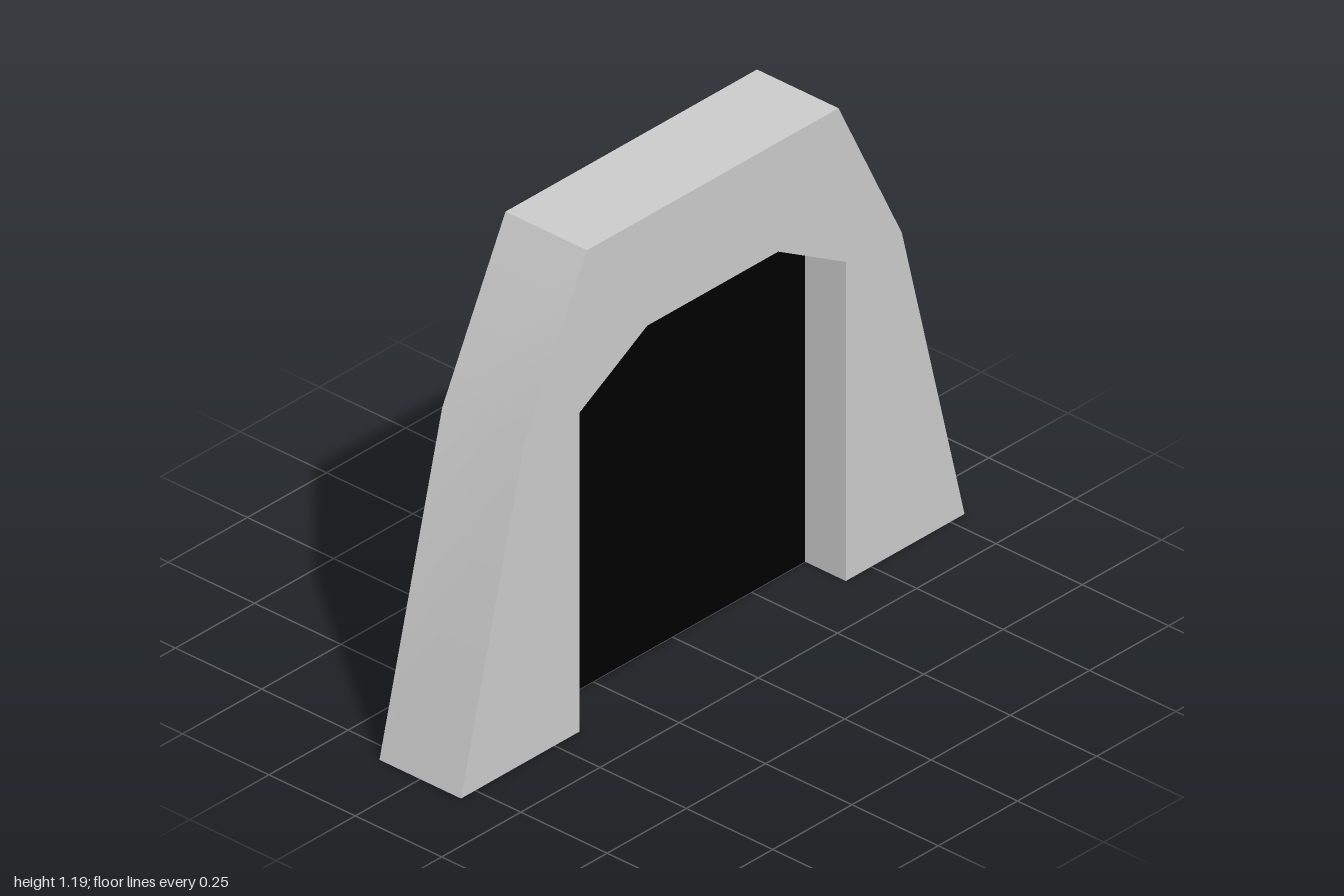
import * as THREE from 'three';
import { toCreasedNormals } from 'three/addons/utils/BufferGeometryUtils.js';

const BASE = 0.81, DEPTH = 0.236;

// Right-hand halves of the two outlines, bottom to top
const OUTER = [[0.795, BASE], [0.597, 1.6], [0.397, 2]];
const OPENING = [[0.42, BASE], [0.42, 1.606], [0.207, 1.727]];

// Mirror a half outline into a full one running from +x over the top to -x
function mirrored(half) {
  const right = half.map(([x, y]) => new THREE.Vector2(x, y));
  const left = half.map(([x, y]) => new THREE.Vector2(-x, y)).reverse();
  return [...right, ...left];
}

export function createModel() {
  const group = new THREE.Group();
  group.name = 'archway';

  // Arch: outer outline followed by the opening in reverse, open at the floor
  const outline = [...mirrored(OUTER), ...mirrored(OPENING).reverse()];
  const archGeometry = new THREE.ExtrudeGeometry(new THREE.Shape(outline), {
    depth: DEPTH, bevelEnabled: false,
  });
  archGeometry.translate(0, 0, -DEPTH / 2);
  const arch = new THREE.Mesh(
    toCreasedNormals(archGeometry, THREE.MathUtils.degToRad(40)),
    new THREE.MeshStandardMaterial({ color: 0xcccccc }),
  );
  arch.name = 'archFrame';
  group.add(arch);

  // Dark sheet filling the opening halfway through the arch
  const panel = new THREE.Mesh(
    new THREE.ShapeGeometry(new THREE.Shape(mirrored(OPENING))),
    new THREE.MeshStandardMaterial({ color: 0x000000, side: THREE.DoubleSide }),
  );
  panel.name = 'darkPanel';
  group.add(panel);

  return group;
}
